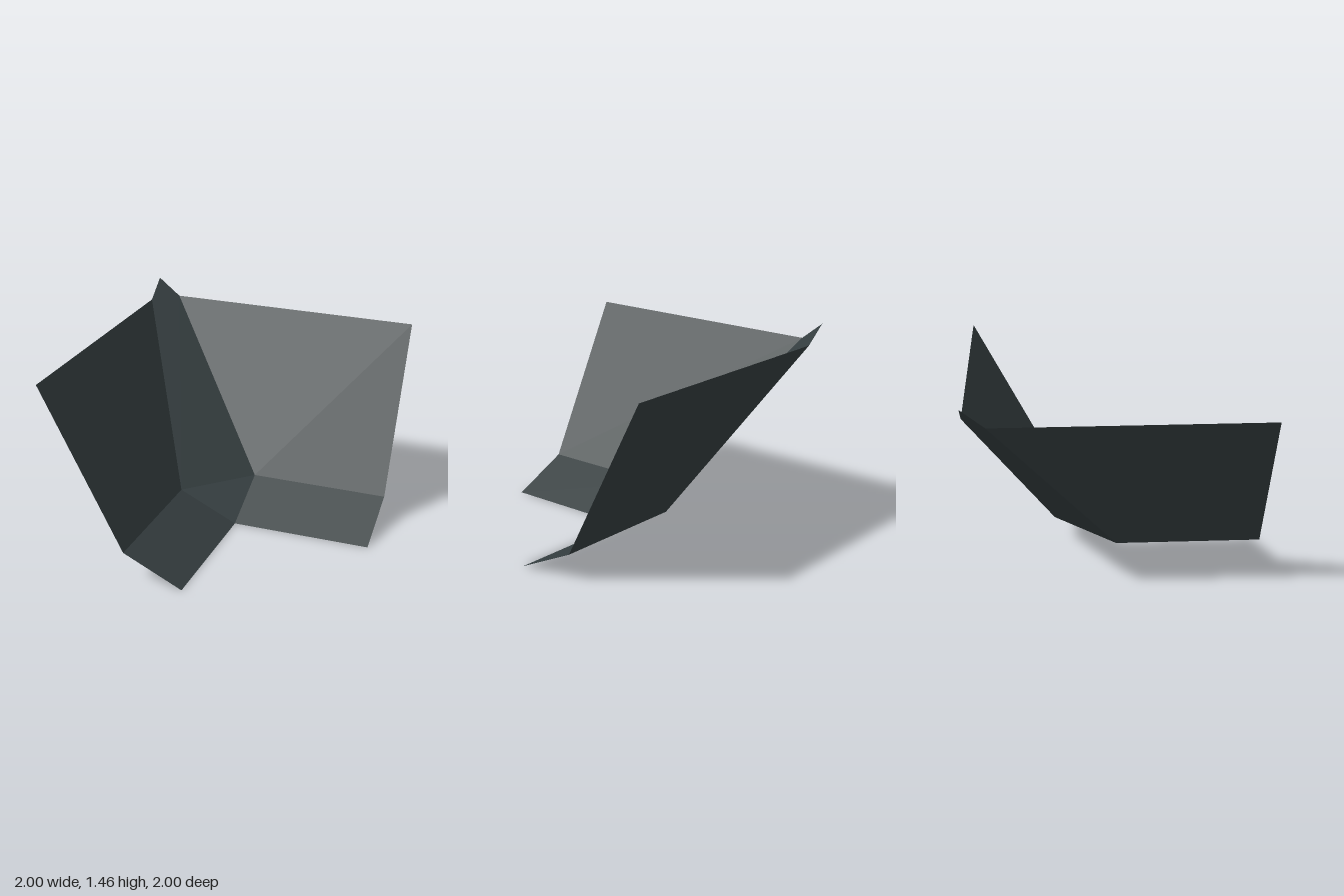
import * as THREE from 'three';

const rock = new THREE.MeshStandardMaterial({ color: 0x343d3f, flatShading: true, side: THREE.DoubleSide });
rock.name = 'dark slate';

// Flat convex panel from corners listed counter-clockwise as seen from its front
function panel(name, corners) {
  const positions = [];
  for (let i = 1; i < corners.length - 1; i++) positions.push(...corners[0], ...corners[i], ...corners[i + 1]);
  const geometry = new THREE.BufferGeometry();
  geometry.setAttribute('position', new THREE.Float32BufferAttribute(positions, 3));
  geometry.computeVertexNormals();
  const mesh = new THREE.Mesh(geometry, rock);
  mesh.name = name;
  return mesh;
}

// Mirror across the diagonal x = z, reversing the order to keep the front side
const mirror = (corners) => corners.map(([x, y, z]) => [z, y, x]).reverse();

export function createModel() {
  const group = new THREE.Group();
  group.name = 'cornerSlope';

  const foot = [0, 0, 0];
  const bend = [0, 0.2, -0.42];
  const top = [-0.84, 1.33, -1];
  const peak = [-1, 1.457, -1];
  const [bendMirrored] = mirror([bend]);
  const [topMirrored] = mirror([top]);

  // Gentle lower slope and steep wall, one pair for each arm of the corner
  const lowerSlope = [foot, [1, 0, 0], [1, 0.2, -0.42], bend];
  const wall = [bend, [1, 0.2, -0.42], [1, 1.33, -1], top];
  group.add(panel('backLowerSlope', lowerSlope), panel('backWall', wall));
  group.add(panel('sideLowerSlope', mirror(lowerSlope)), panel('sideWall', mirror(wall)));

  // Diagonal faces joining the two arms
  group.add(panel('cornerLowerSlope', [foot, bend, bendMirrored]));
  group.add(panel('cornerWall', [bendMirrored, bend, top, peak, topMirrored]));

  return group;
}
